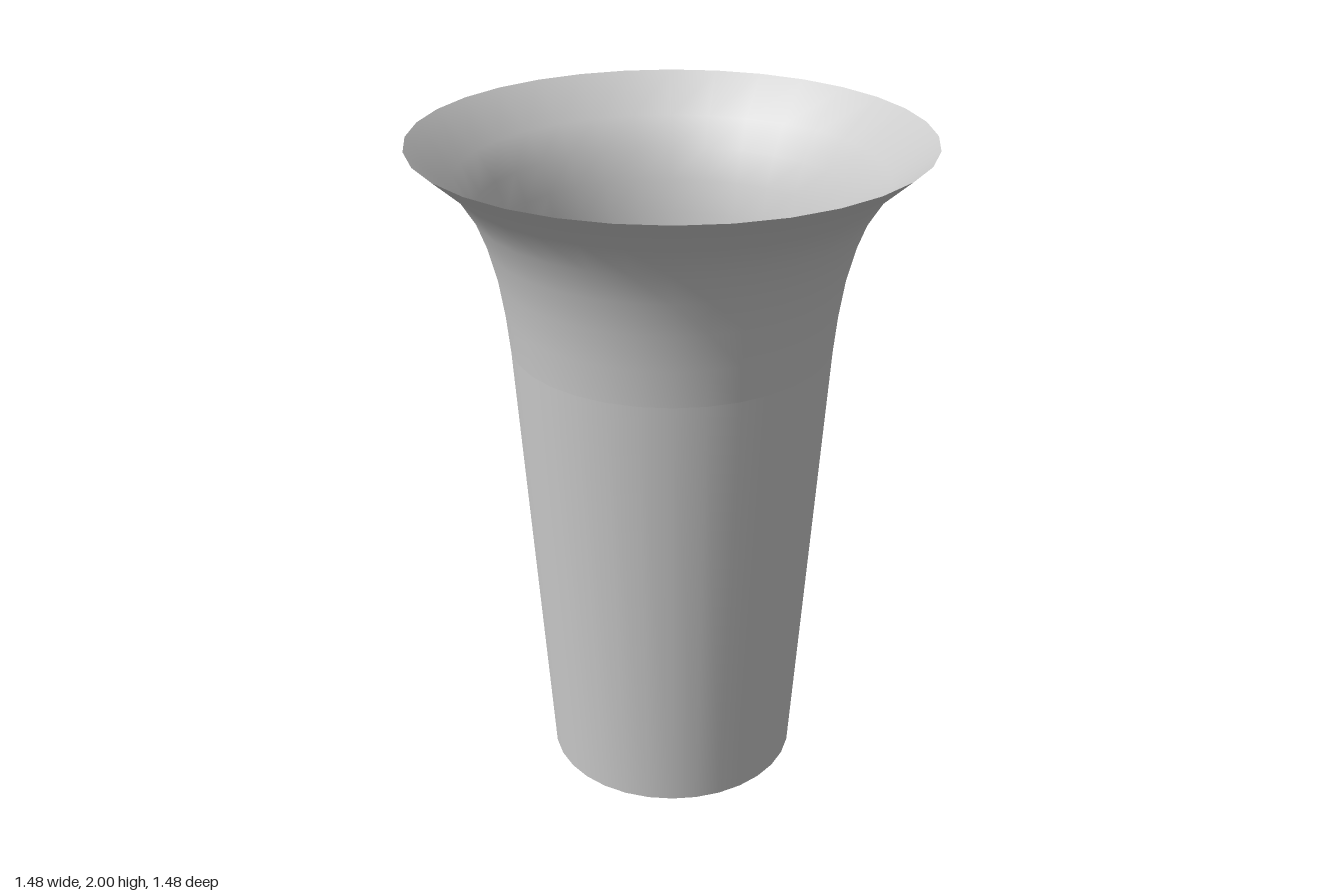
import * as THREE from 'three';

export function createModel() {
  const group = new THREE.Group();
  group.name = 'flaredVase';
  const material = new THREE.MeshStandardMaterial({ color: 0xcccccc, side: THREE.DoubleSide });

  // Thin open shell turned from a [radius, height] profile
  const addShell = (name, profile) => {
    const points = profile.map(([r, y]) => new THREE.Vector2(r, y));
    const mesh = new THREE.Mesh(new THREE.LatheGeometry(points, 32), material);
    mesh.name = name;
    group.add(mesh);
  };

  // Tapered wall, open at the bottom
  addShell('body', [[0.382, 0], [0.474, 1.39]]);

  // Rim sweeping outwards from the wall
  addShell('flaredRim', [
    [0.474, 1.39], [0.485, 1.5], [0.502, 1.61], [0.528, 1.71],
    [0.562, 1.8], [0.618, 1.89], [0.742, 2],
  ]);

  return group;
}
